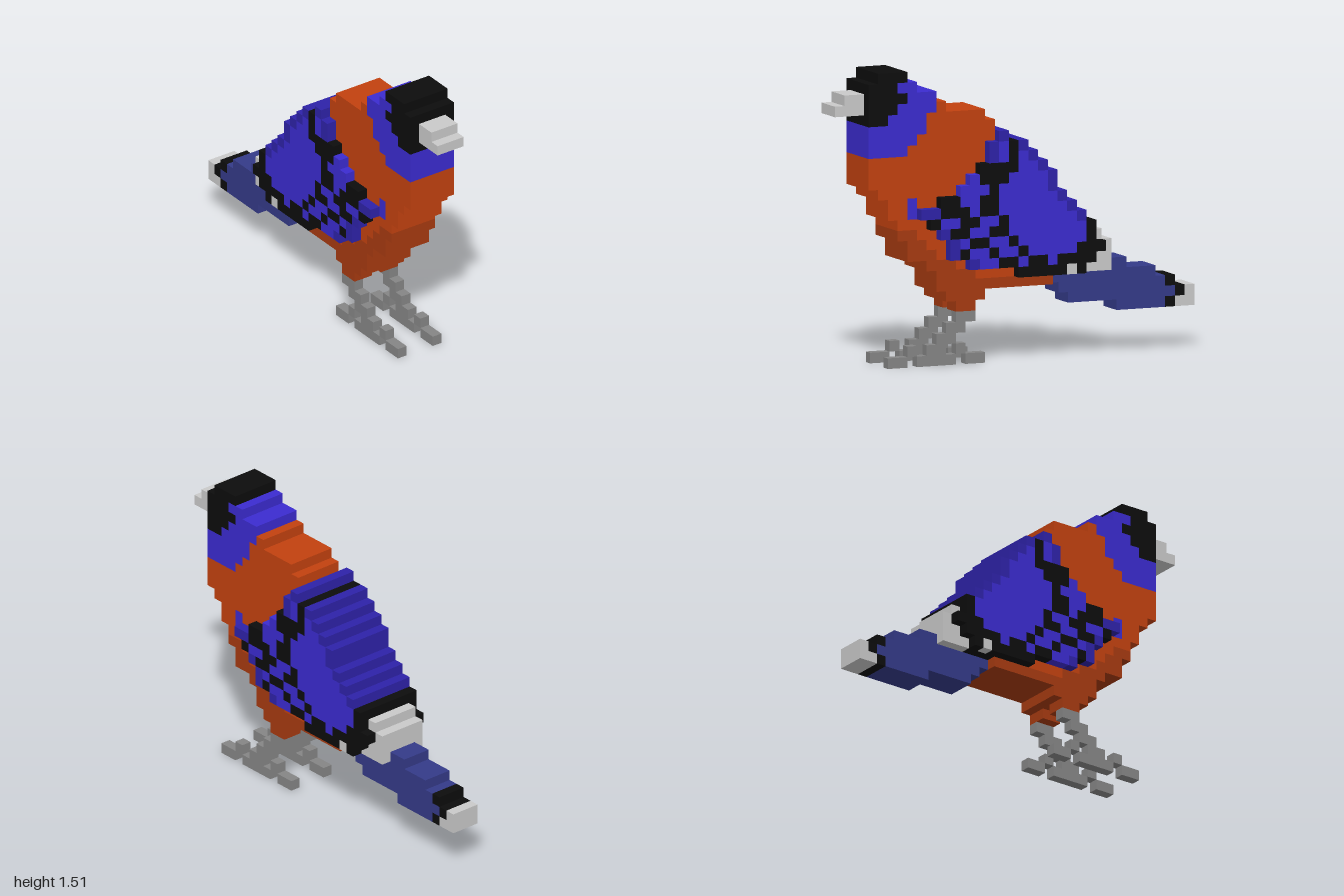
import * as THREE from 'three';
import { mergeGeometries } from 'three/addons/utils/BufferGeometryUtils.js';

const V = 2 / 37; // block size: the bird is 37 blocks long

const material = (name, color) => {
  const m = new THREE.MeshStandardMaterial({ color });
  m.name = name;
  return m;
};
const MATERIALS = {
  O: material('orange', 0xc2410f),
  X: material('darkOrange', 0xa63a10),
  B: material('blue', 0x3b2bcf),
  D: material('darkBlue', 0x2e22a8),
  T: material('tailBlue', 0x343a88),
  K: material('black', 0x0c0c0c),
  L: material('lightGrey', 0xc9c9c9),
  G: material('legGrey', 0x858585),
};

// Each row is [height, first column, runs]; a run is a colour letter and a length.
const HEAD = [
  [27, 30, 'K3'],
  [26, 29, 'B2 K3'],
  [25, 27, 'B3 K4'],
  [24, 26, 'O1 B4 K3'],
  [23, 22, 'O6 B4 K2'],
  [22, 21, 'O7 B6'],
];
const BODY = [
  [21, 20, 'D1 O8 B5'],
  [20, 18, 'D1 K1 D1 O9 B4'],
  [19, 17, 'D3 O14'],
  [18, 16, 'D3 O15'],
  [17, 15, 'D3 O16'],
  [16, 15, 'D2 O16'],
  [15, 14, 'D2 O13 B1 O2'],
  [14, 13, 'D2 O14 B1 O2'],
  [13, 12, 'D2 O17'],
  [12, 11, 'K2 O16 X2'],
  [11, 10, 'L1 K2 O15 X2'],
  [10, 9, 'L2 K2 O14 X3'],
  [9, 9, 'L2 K2 O12 X3'],
  [8, 9, 'L3 K3 O8 X4'],
  [7, 15, 'X12'],
  [6, 22, 'X4'],
];
const WING = [
  [21, 20, 'D1'],
  [20, 18, 'D1 K1 B1 D1'],
  [19, 17, 'D1 B1 K1 B1 D1'],
  [18, 16, 'D1 B2 K4'],
  [17, 15, 'D1 B4 K3 B1'],
  [16, 15, 'D1 B5 K1 B3'],
  [15, 14, 'D1 B6 K2 B2 K2'],
  [14, 13, 'D1 B7 K2 B1 K3 D2'],
  [13, 12, 'D1 B7 K1 B2 K2 B2 K1'],
  [12, 11, 'K1 B8 K2 B2 K2 D1'],
  [11, 11, 'K1 B7 K1 B2 K2 B1 D1'],
  [10, 10, 'K3 B5 K1 B2 K1 B2 K1 D1'],
  [9, 11, 'K4 B1 K2 B1 K2 B2 D1'],
  [8, 12, 'K1 L1 K5'],
];
const TAIL = [
  [8, 7, 'T9'],
  [7, 4, 'T11'],
  [6, 2, 'K1 T11'],
  [5, 0, 'L1 K1 T11'],
  [4, 0, 'L2 K1 T5'],
];
const BEAK = [
  [25, 34, 'L2'],
  [24, 34, 'L3'],
];
const THIGH = [[5, 23, 'X2']];
const LEG = [
  [4, 23, 'G2'],
  [3, 24, 'G2'],
  [2, 25, 'G2'],
  [1, 24, 'G1'],
  [1, 26, 'G2'],
  [1, 29, 'G1'],
  [0, 22, 'G2'],
  [0, 25, 'G4'],
  [0, 30, 'G2'],
];

// Turns rows into boxes between depths z0 and z1, with one mesh for each colour
function blockPart(name, rows, z0, z1) {
  const part = new THREE.Group();
  part.name = name;
  const boxes = {};
  for (const [row, start, runs] of rows) {
    let col = start;
    for (const run of runs.split(' ')) {
      const key = run[0];
      const n = Number(run.slice(1));
      const box = new THREE.BoxGeometry(n * V, V, (z1 - z0) * V);
      box.translate((col + n / 2) * V - 1, (row + 0.5) * V, ((z0 + z1) / 2) * V);
      (boxes[key] ??= []).push(box);
      col += n;
    }
  }
  for (const [key, list] of Object.entries(boxes)) {
    const mesh = new THREE.Mesh(mergeGeometries(list), MATERIALS[key]);
    mesh.name = `${name} ${MATERIALS[key].name}`;
    part.add(mesh);
  }
  return part;
}

export function createModel() {
  const bird = new THREE.Group();
  bird.name = 'bird';

  // Central parts
  bird.add(
    blockPart('head', HEAD, -2.5, 2.5),
    blockPart('body', BODY, -2.5, 2.5),
    blockPart('beak', BEAK, -1.5, 1.5),
    blockPart('tail', TAIL, -1.5, 1.5),
  );

  // Paired parts on either flank
  const pair = (name, rows, near, far) => bird.add(
    blockPart(`front ${name}`, rows, near, far),
    blockPart(`back ${name}`, rows, -far, -near),
  );
  pair('wing', WING, 2.5, 3.5);
  pair('thigh', THIGH, 0.5, 2.5);
  pair('leg', LEG, 1.5, 2.5);

  return bird;
}
